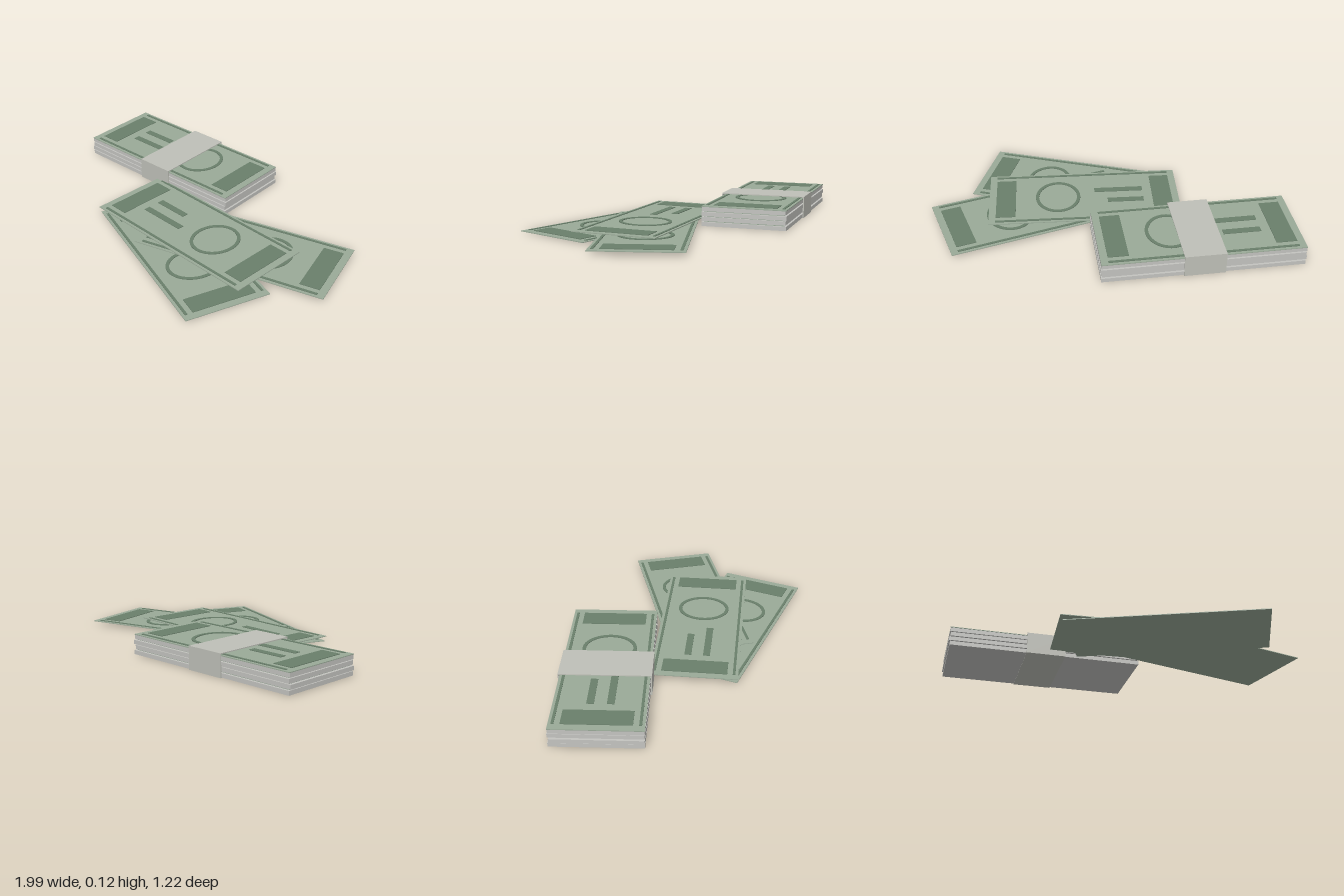
import * as THREE from 'three';

const mat = (name, color) => Object.assign(new THREE.MeshStandardMaterial({ color }), { name });

export function createModel() {
  const billGreen = mat('bill green', 0x9aaa98);
  const inkGreen = mat('ink green', 0x6a7f6b);
  const paper = mat('paper edge', 0xc4c4c0);
  const bandGrey = mat('band grey', 0xbfc0b8);

  const W = 1.055, D = 0.46; // size of one bill
  const root = new THREE.Group();
  root.name = 'cashPile';

  // Box standing on height y
  function slab(parent, name, material, w, h, d, x, y, z) {
    const mesh = new THREE.Mesh(new THREE.BoxGeometry(w, h, d), material);
    mesh.name = name;
    mesh.position.set(x, y + h / 2, z);
    parent.add(mesh);
    return mesh;
  }

  // Oval portrait frame, lying flat
  const oval = new THREE.Shape().absellipse(0, 0, 0.124, 0.143, 0, Math.PI * 2);
  oval.holes.push(new THREE.Path().absellipse(0, 0, 0.106, 0.125, 0, Math.PI * 2, true));
  const ovalGeometry = new THREE.ExtrudeGeometry(oval, { depth: 0.004, bevelEnabled: false, curveSegments: 32 });
  ovalGeometry.rotateX(-Math.PI / 2);

  // One printed bill with its underside at y = 0
  function makeBill(name) {
    const bill = new THREE.Group();
    bill.name = name;
    const t = 0.004, ink = 0.003;
    slab(bill, 'sheet', billGreen, W, t, D, 0, 0, 0);
    for (const s of [-1, 1]) {
      slab(bill, 'endPanel', inkGreen, 0.108, ink, 0.345, s * 0.435, t, 0);
      slab(bill, 'borderLine', inkGreen, 0.98, ink, 0.014, 0, t, s * 0.208);
    }
    slab(bill, 'shortBar', inkGreen, 0.2, ink, 0.037, -0.23, t, -0.048);
    slab(bill, 'longBar', inkGreen, 0.27, ink, 0.037, -0.195, t, 0.052);
    const ring = new THREE.Mesh(ovalGeometry, inkGreen);
    ring.name = 'ovalFrame';
    ring.position.set(0.146, t, 0);
    bill.add(ring);
    return bill;
  }

  // Loose bills fanned on top of each other: x, y, z, turn
  const loose = [
    ['lowerBill', 0.2225, 0.004, 0.257, -0.24],
    ['middleBill', 0.4225, 0.018, -0.008, 0.384],
    ['upperBill', 0.155, 0.032, 0.0935, 0.07],
  ];
  for (const [name, x, y, z, turn] of loose) {
    const bill = makeBill(name);
    bill.position.set(x, y, z);
    bill.rotation.y = turn;
    root.add(bill);
  }

  // Banded bundle: four pads with thin recessed layers between
  const bundle = new THREE.Group();
  bundle.name = 'bundle';
  bundle.position.set(-0.4385, 0, -0.308);
  bundle.rotation.y = 0.138;
  const shift = [0.002, -0.003, 0.003, 0];
  shift.forEach((dx, i) => {
    const y = 0.002 + i * 0.027;
    slab(bundle, 'pad', paper, W, 0.022, D - (i % 2) * 0.006, dx, y, -dx / 2);
    if (i < 3) slab(bundle, 'recessedLayer', billGreen, W - 0.024, 0.005, D - 0.024, 0, y + 0.022, 0);
  });
  const topBill = makeBill('topBill');
  topBill.position.y = 0.105;
  bundle.add(topBill);

  // Paper band wrapped around the bundle
  slab(bundle, 'bandTop', bandGrey, 0.216, 0.005, 0.476, 0, 0.115, 0);
  slab(bundle, 'bandBottom', bandGrey, 0.216, 0.002, 0.476, 0, 0, 0);
  for (const s of [-1, 1]) slab(bundle, 'bandSide', bandGrey, 0.216, 0.113, 0.006, 0, 0.002, s * 0.235);
  root.add(bundle);

  return root;
}
